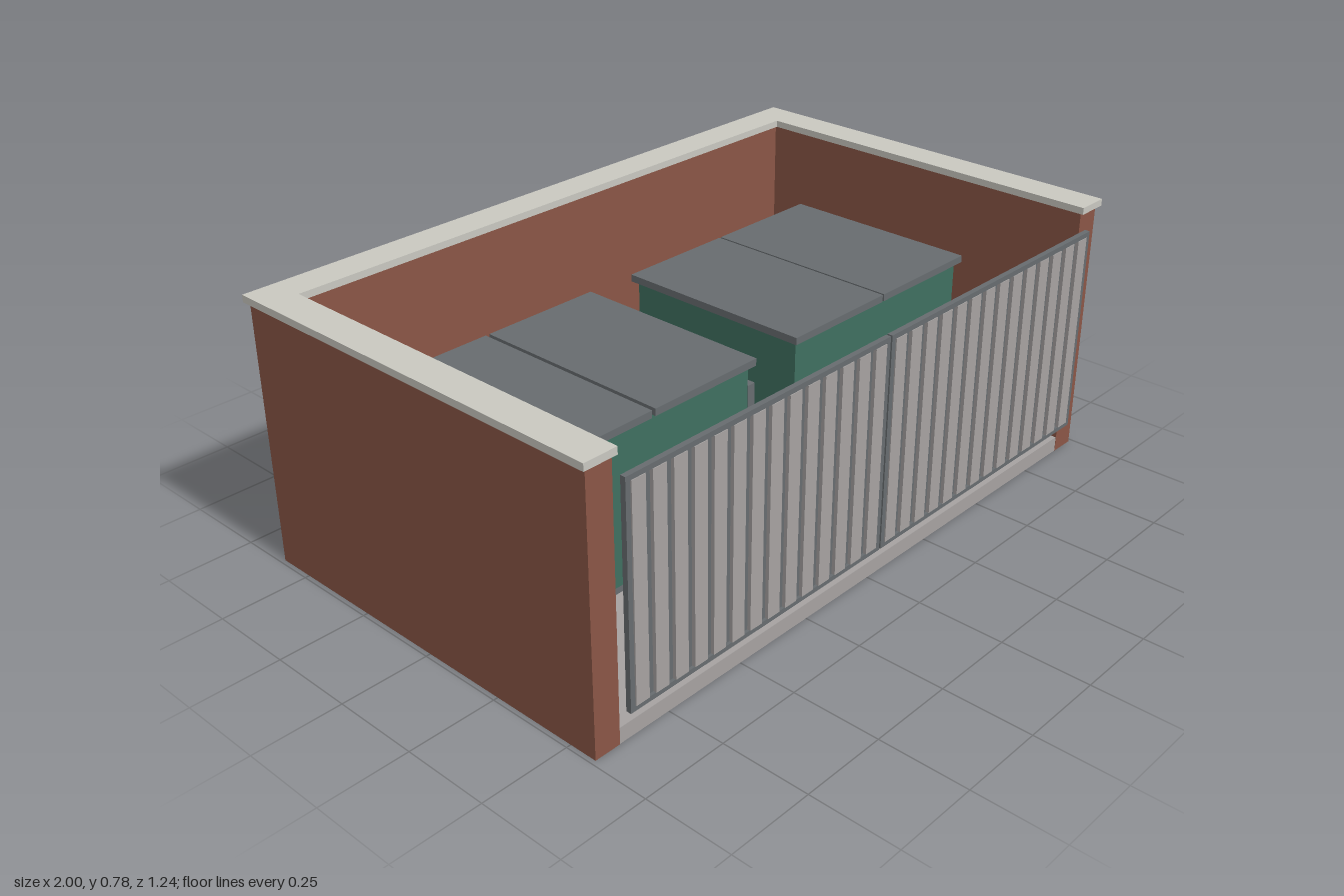
import * as THREE from 'three';

const mat = (name, color) => {
  const m = new THREE.MeshStandardMaterial({ color });
  m.name = name;
  return m;
};

export function createModel() {
  const brick = mat('brick red', 0x8a5646);
  const capStone = mat('cap stone', 0xc9c8c0);
  const concrete = mat('concrete grey', 0xa6a2a1);
  const steel = mat('steel grey', 0x676c6f);
  const green = mat('container green', 0x3f6f60);

  const root = new THREE.Group();
  root.name = 'binEnclosure';

  // box given by its minimum and maximum on each axis
  const box = (parent, name, material, [x0, x1], [y0, y1], [z0, z1]) => {
    const mesh = new THREE.Mesh(new THREE.BoxGeometry(x1 - x0, y1 - y0, z1 - z0), material);
    mesh.position.set((x0 + x1) / 2, (y0 + y1) / 2, (z0 + z1) / 2);
    mesh.name = name;
    parent.add(mesh);
    return mesh;
  };

  // U-shaped ring, open to the front, extruded upwards
  const uShape = (name, material, outer, inner, back, innerBack, front, y0, y1) => {
    const shape = new THREE.Shape([
      [-outer, -front], [-inner, -front], [-inner, -innerBack], [inner, -innerBack],
      [inner, -front], [outer, -front], [outer, -back], [-outer, -back],
    ].map(([x, y]) => new THREE.Vector2(x, y)));
    const geo = new THREE.ExtrudeGeometry(shape, { depth: y1 - y0, bevelEnabled: false });
    geo.rotateX(-Math.PI / 2);
    const mesh = new THREE.Mesh(geo, material);
    mesh.position.y = y0;
    mesh.name = name;
    root.add(mesh);
  };

  uShape('walls', brick, 0.987, 0.91, -0.608, -0.53, 0.581, 0, 0.757);
  uShape('wallCap', capStone, 1, 0.903, -0.618, -0.52, 0.592, 0.757, 0.777);
  box(root, 'floorSlab', concrete, [-0.91, 0.91], [0, 0.045], [-0.53, 0.58]);

  // two gate leaves: backing sheet, frame and upright slats
  for (const side of [-1, 1]) {
    const gate = new THREE.Group();
    gate.name = side < 0 ? 'rightGate' : 'leftGate';
    const a = side < 0 ? -0.907 : 0.003;
    const b = a + 0.904;
    const frameZ = [0.601, 0.616];
    box(gate, 'gateSheet', steel, [a + 0.012, b - 0.012], [0.115, 0.702], [0.603, 0.608]);
    box(gate, 'gateTopRail', steel, [a, b], [0.7, 0.714], frameZ);
    box(gate, 'gateBottomRail', steel, [a, b], [0.103, 0.117], frameZ);
    box(gate, 'gateStile', steel, [a, a + 0.014], [0.117, 0.7], frameZ);
    box(gate, 'gateStile', steel, [b - 0.014, b], [0.117, 0.7], frameZ);
    const count = 14, width = 0.042, pitch = (0.872 - width) / (count - 1);
    for (let i = 0; i < count; i++) {
      const x = a + 0.016 + i * pitch;
      box(gate, 'gateSlat', concrete, [x, x + width], [0.117, 0.7], [0.608, 0.618]);
    }
    root.add(gate);
  }

  // two waste containers, each with a split lid
  for (const side of [-1, 1]) {
    const bin = new THREE.Group();
    bin.name = side < 0 ? 'rightContainer' : 'leftContainer';
    bin.position.x = side * 0.455;
    const gap = side < 0 ? 0.006 : 0.003;
    box(bin, 'containerBody', green, [-0.36, 0.36], [0.1, 0.54], [-0.34, 0.24]);
    box(bin, 'lidHalf', steel, [-0.375, -gap], [0.54, 0.561], [-0.355, 0.255]);
    box(bin, 'lidHalf', steel, [gap, 0.375], [0.54, 0.561], [-0.355, 0.255]);
    // cross skids under the body
    for (const z of [-0.305, 0.187]) {
      box(bin, 'skid', steel, [-0.394, 0.394], [0.045, 0.1], [z - 0.015, z + 0.015]);
    }
    // lifting pockets on both sides
    for (const s of [-1, 1]) {
      const xs = s < 0 ? [-0.387, -0.36] : [0.36, 0.387];
      box(bin, 'liftPocket', steel, xs, [0.29, 0.37], [-0.217, 0.1]);
    }
    root.add(bin);
  }

  return root;
}
